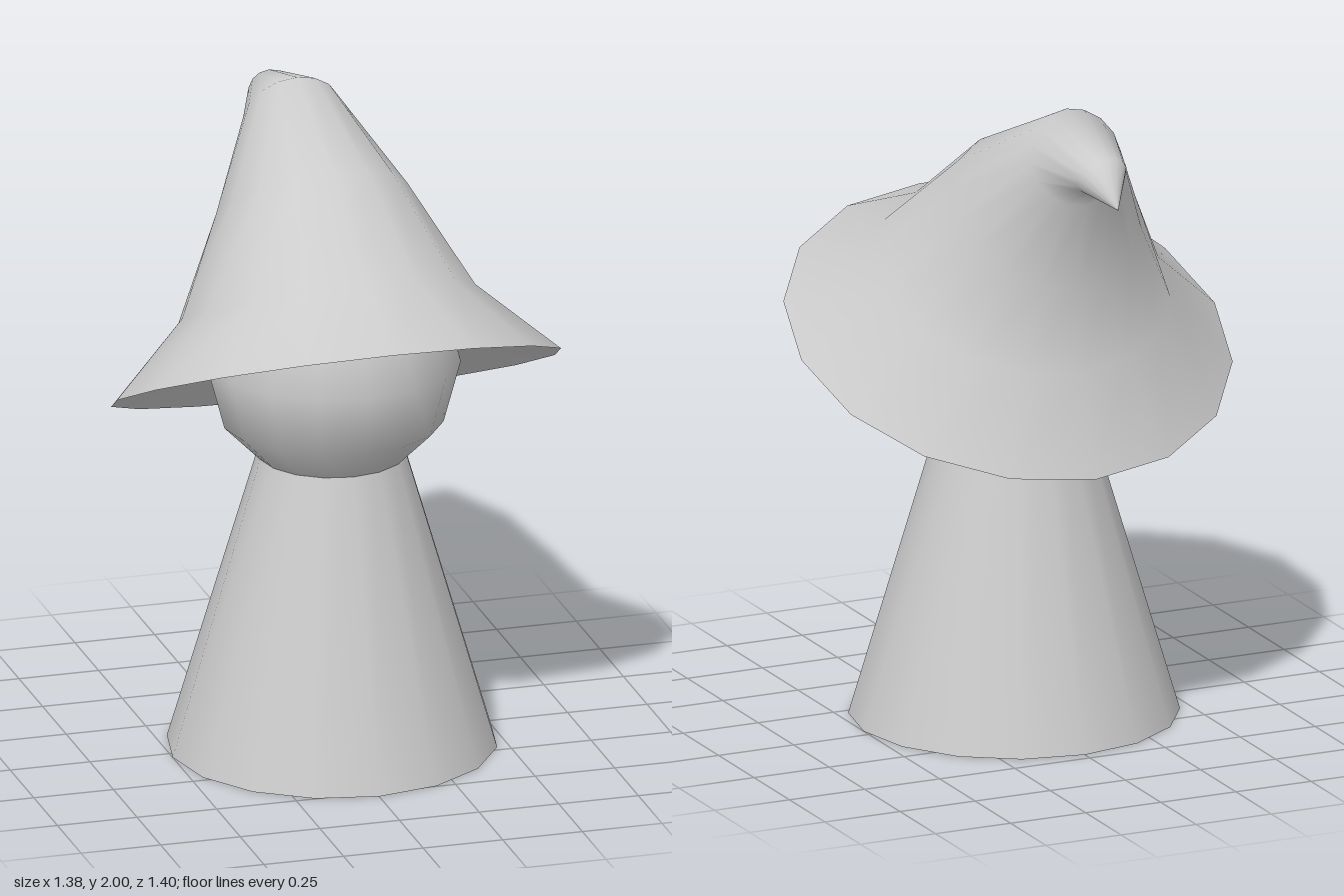
import * as THREE from 'three';

const SIDES = 16;
const AXIS_Z = 0.035; // body and head share this axis

// Lofts tilted circles, each given by its front and back point: [zFront, yFront, zBack, yBack]
function loft(rings) {
  const positions = [], index = [];
  for (const [zf, yf, zb, yb] of rings) {
    const hz = (zf - zb) / 2, hy = (yf - yb) / 2, r = Math.hypot(hz, hy);
    for (let i = 0; i < SIDES; i++) {
      const a = (i / SIDES) * Math.PI * 2;
      positions.push(
        r * Math.sin(a),
        (yf + yb) / 2 + hy * Math.cos(a),
        (zf + zb) / 2 + hz * Math.cos(a)
      );
    }
  }
  for (let j = 0; j < rings.length - 1; j++) {
    for (let i = 0; i < SIDES; i++) {
      const k = (i + 1) % SIDES;
      const a = j * SIDES + i, b = j * SIDES + k, c = b + SIDES, d = a + SIDES;
      index.push(a, b, c, a, c, d);
    }
  }
  const geometry = new THREE.BufferGeometry();
  geometry.setAttribute('position', new THREE.Float32BufferAttribute(positions, 3));
  geometry.setIndex(index);
  geometry.computeVertexNormals();
  return geometry;
}

export function createModel() {
  const model = new THREE.Group();
  model.name = 'hattedFigure';
  const material = new THREE.MeshStandardMaterial({ color: 0xcccccc });
  const hatMaterial = new THREE.MeshStandardMaterial({ color: 0xcccccc, side: THREE.DoubleSide });

  const add = (name, geometry, mat, parent = model) => {
    const mesh = new THREE.Mesh(geometry, mat);
    mesh.name = name;
    parent.add(mesh);
    return mesh;
  };

  // Conical robe, its top sunk into the head
  add('body', new THREE.CylinderGeometry(0.205, 0.5, 1, SIDES), material)
    .position.set(0, 0.5, AXIS_Z);

  // Round head
  add('head', new THREE.SphereGeometry(0.39, SIDES, 6), material)
    .position.set(0, 1.235, AXIS_Z);

  // Tilted hat: wide brim, crown leaning back, drooping tip
  const hat = new THREE.Group();
  hat.name = 'hat';
  model.add(hat);
  const brim = [0.7, 1.475, -0.545, 0.89];
  add('hatCrown', loft([
    brim,
    [0.39, 1.58, -0.43, 1.19],
    [0.05, 1.83, -0.42, 1.46],
    [-0.335, 2.0, -0.465, 1.73],
    [-0.63, 1.92, -0.54, 1.79],
    [-0.7, 1.78, -0.7, 1.78],
  ]), hatMaterial, hat);

  // Underside of the brim, running in to the head
  add('brimUnderside', loft([[0.37, 1.395, -0.3, 1.08], brim]), hatMaterial, hat);

  return model;
}
